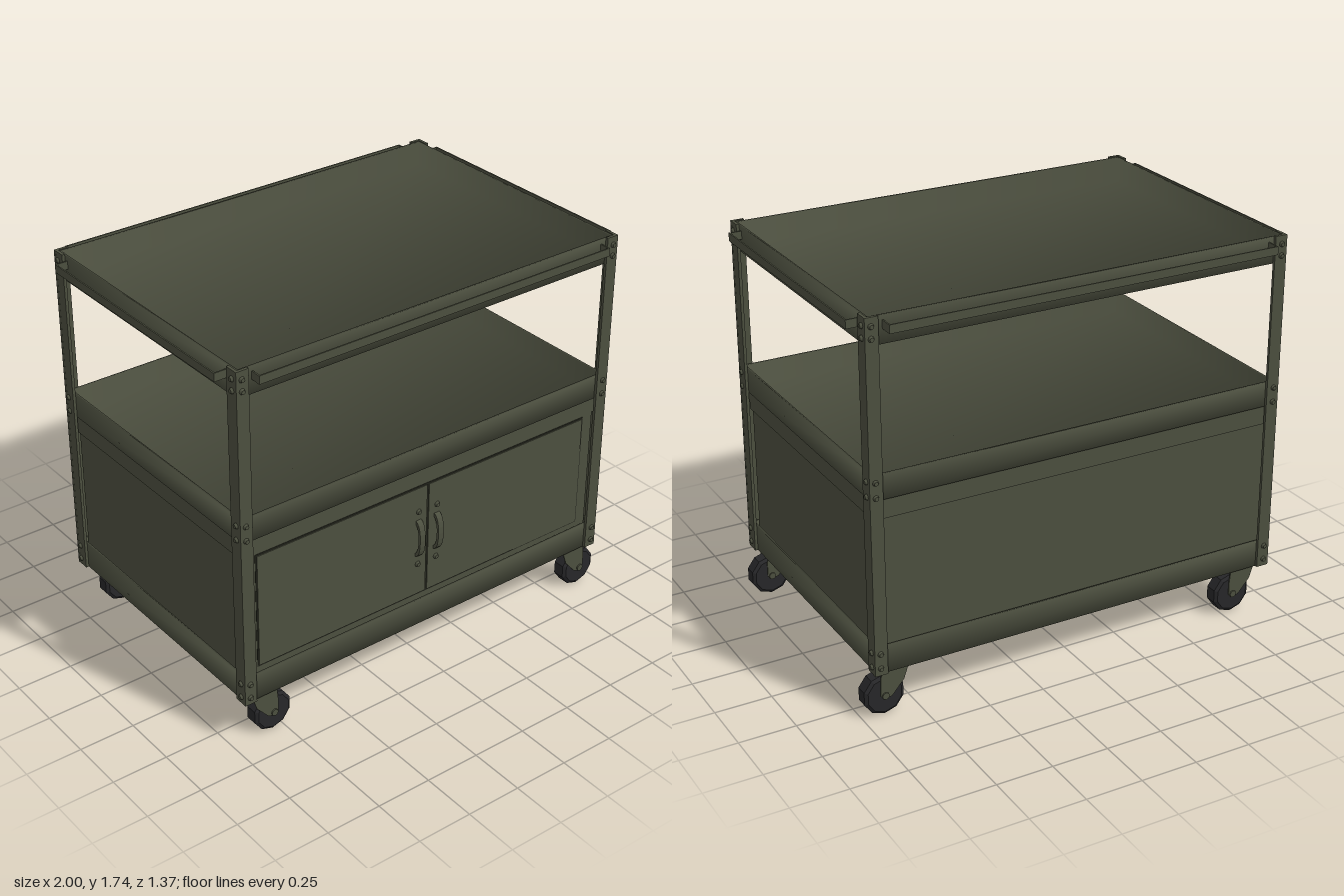
import * as THREE from 'three';

const mat = (name, color) => {
  const m = new THREE.MeshStandardMaterial({ color });
  m.name = name;
  return m;
};

export function createModel() {
  const olive = mat('olive paint', 0x4c4f3f);
  const seam = mat('dark seam', 0x26281f);
  const rubber = mat('black rubber', 0x272729);
  const cart = new THREE.Group();
  cart.name = 'utilityCart';

  const add = (parent, name, geometry, material, x = 0, y = 0, z = 0) => {
    const mesh = new THREE.Mesh(geometry, material);
    mesh.name = name;
    mesh.position.set(x, y, z);
    parent.add(mesh);
    return mesh;
  };
  // Box given by its limits on each axis
  const box = (parent, name, material, x0, x1, y0, y1, z0, z1) =>
    add(parent, name, new THREE.BoxGeometry(x1 - x0, y1 - y0, z1 - z0), material,
      (x0 + x1) / 2, (y0 + y1) / 2, (z0 + z1) / 2);

  // Body limits
  const X = 0.945, ZF = 0.637, ZB = -0.625, T = 0.013;

  // Open trays: four rectangular rings joined from the underside, over the rim, to the floor.
  // Corner normals are shared diagonally, which shades the folded sheet softly.
  const tray = (name, y0, y1) => {
    const wall = 0.01;
    // Each ring: inset, height, side of the sheet (1 outside, -1 inside), vertical lean
    const rings = [[0, y0, 1, -1], [0, y1, 1, 1], [wall, y1, -1, 1], [wall, y0 + wall, -1, 1]];
    const corners = [[-1, -1], [-1, 1], [1, 1], [1, -1]];
    const positions = [], normals = [], index = [];
    const n = new THREE.Vector3();
    for (const [inset, y, side, lean] of rings) {
      for (const [cx, cz] of corners) {
        positions.push(cx * (X - inset), y, cz > 0 ? ZF - inset : ZB + inset);
        n.set(cx * side, lean, cz * side).normalize();
        normals.push(n.x, n.y, n.z);
      }
    }
    for (let r = 0; r < 3; r++) {
      for (let i = 0; i < 4; i++) {
        const j = (i + 1) % 4;
        const a = r * 4 + i, b = r * 4 + j, c = b + 4, d = a + 4;
        index.push(a, b, c, a, c, d);
      }
    }
    index.push(0, 3, 1, 1, 3, 2, 12, 13, 15, 13, 14, 15);
    const g = new THREE.BufferGeometry();
    g.setAttribute('position', new THREE.Float32BufferAttribute(positions, 3));
    g.setAttribute('normal', new THREE.Float32BufferAttribute(normals, 3));
    g.setIndex(index);
    add(cart, name, g, olive);
  };
  tray('topTray', 1.622, 1.738);
  tray('middleTray', 0.98, 1.09);
  tray('bottomTray', 0.212, 0.335);

  // Cabinet panels standing in the bottom tray, with a skirt below the middle tray
  box(cart, 'cabinet', olive, -0.922, 0.922, 0.225, 0.978, -0.603, 0.61);
  box(cart, 'cabinetSkirt', olive, -0.935, 0.935, 0.893, 0.979, -0.615, 0.609);

  // Doors standing on a dark reveal, each with a bowed pull and two bolts
  box(cart, 'doorReveal', seam, -0.869, 0.869, 0.346, 0.886, 0.607, 0.612);
  const pull = new THREE.Shape();
  pull.moveTo(0, -0.09);
  pull.quadraticCurveTo(0.034, -0.08, 0.034, 0);
  pull.quadraticCurveTo(0.034, 0.08, 0, 0.09);
  pull.lineTo(0, 0.072);
  pull.quadraticCurveTo(0.022, 0.06, 0.022, 0);
  pull.quadraticCurveTo(0.022, -0.06, 0, -0.072);
  const pullGeo = new THREE.ExtrudeGeometry(pull, { depth: 0.028, bevelEnabled: false, curveSegments: 5 });
  pullGeo.translate(0, 0, -0.014).rotateY(-Math.PI / 2);
  const boltGeo = new THREE.CylinderGeometry(0.009, 0.014, 0.012, 8);
  const bolt = (x, y, z, axis, sign) => {
    const mesh = add(cart, 'bolt', boltGeo, olive, x, y, z);
    if (axis === 'x') mesh.rotation.z = -sign * Math.PI / 2;
    else mesh.rotation.x = sign * Math.PI / 2;
  };
  for (const s of [-1, 1]) {
    const a = s * 0.005, b = s * 0.862;
    box(cart, 'door', olive, Math.min(a, b), Math.max(a, b), 0.353, 0.879, 0.609, 0.616);
    add(cart, 'doorPull', pullGeo, olive, s * 0.049, 0.635, 0.614);
    for (const y of [0.765, 0.505]) bolt(s * 0.049, y, 0.62, 'z', 1);
  }

  // Angle-iron corner posts with bolts on both faces
  for (const sx of [-1, 1]) {
    for (const sz of [-1, 1]) {
      const z = sz > 0 ? ZF : ZB;
      const post = new THREE.Group();
      post.name = 'cornerPost';
      cart.add(post);
      add(post, 'postFace', new THREE.BoxGeometry(0.057, 1.53, T), olive,
        sx * 0.93, 0.977, z + sz * T / 2);
      add(post, 'postSide', new THREE.BoxGeometry(T, 1.53, 0.05), olive,
        sx * (X + T / 2), 0.977, z - sz * 0.025);
      for (const y of [1.705, 1.655, 1.065, 1.0, 0.31, 0.245]) {
        bolt(sx * 0.933, y, z + sz * (T + 0.004), 'z', sz);
        bolt(sx * (X + T + 0.004), y, z - sz * 0.015, 'x', sx);
      }
    }
  }

  // Thin push rails around the top tray, returned at both ends
  const Y0 = 1.682, Y1 = 1.718, t = 0.006;
  for (const s of [-1, 1]) {
    const outer = s * 0.683, inner = s > 0 ? ZF : ZB;
    const lo = Math.min(outer, inner), hi = Math.max(outer, inner);
    box(cart, 'longRail', olive, -0.88, 0.88, Y0, Y1, outer - t / 2, outer + t / 2);
    for (const e of [-1, 1])
      box(cart, 'longRailEnd', olive, e * 0.877 - t / 2, e * 0.877 + t / 2, Y0, Y1, lo, hi);
    const x = s * 0.997;
    box(cart, 'sideRail', olive, x - t / 2, x + t / 2, Y0, Y1, -0.562, 0.57);
    for (const z of [-0.559, 0.567])
      box(cart, 'sideRailEnd', olive, Math.min(s * X, x), Math.max(s * X, x), Y0, Y1, z - t / 2, z + t / 2);
  }

  // Casters, all trailing towards +x
  const cheek = new THREE.Shape();
  cheek.moveTo(-0.105, 0.112);
  cheek.lineTo(0.015, 0.112);
  cheek.lineTo(0.02, 0.06);
  cheek.lineTo(0.02, 0);
  cheek.lineTo(0.005, -0.018);
  cheek.lineTo(-0.03, -0.008);
  cheek.lineTo(-0.085, 0.055);
  const cheekGeo = new THREE.ExtrudeGeometry(cheek, { depth: 0.005, bevelEnabled: false });
  const wheelProfile = [[0, -0.036], [0.078, -0.036], [0.092, -0.026], [0.092, 0.026], [0.078, 0.036], [0, 0.036]]
    .map(([r, y]) => new THREE.Vector2(r, y));
  const wheelGeo = new THREE.LatheGeometry(wheelProfile, 10).toNonIndexed();
  wheelGeo.computeVertexNormals();
  for (const x of [-0.8, 0.902]) {
    for (const z of [0.583, -0.565]) {
      const caster = new THREE.Group();
      caster.name = 'caster';
      caster.position.set(x, 0.092, z);
      cart.add(caster);
      add(caster, 'wheel', wheelGeo, rubber).rotation.x = Math.PI / 2;
      add(caster, 'axle', new THREE.CylinderGeometry(0.016, 0.016, 0.096, 8), olive).rotation.x = Math.PI / 2;
      add(caster, 'forkCheek', cheekGeo, olive, 0, 0, 0.037);
      add(caster, 'forkCheek', cheekGeo, olive, 0, 0, -0.042);
      box(caster, 'forkCrown', olive, -0.105, 0.015, 0.106, 0.124, -0.042, 0.042);
    }
  }
  return cart;
}
